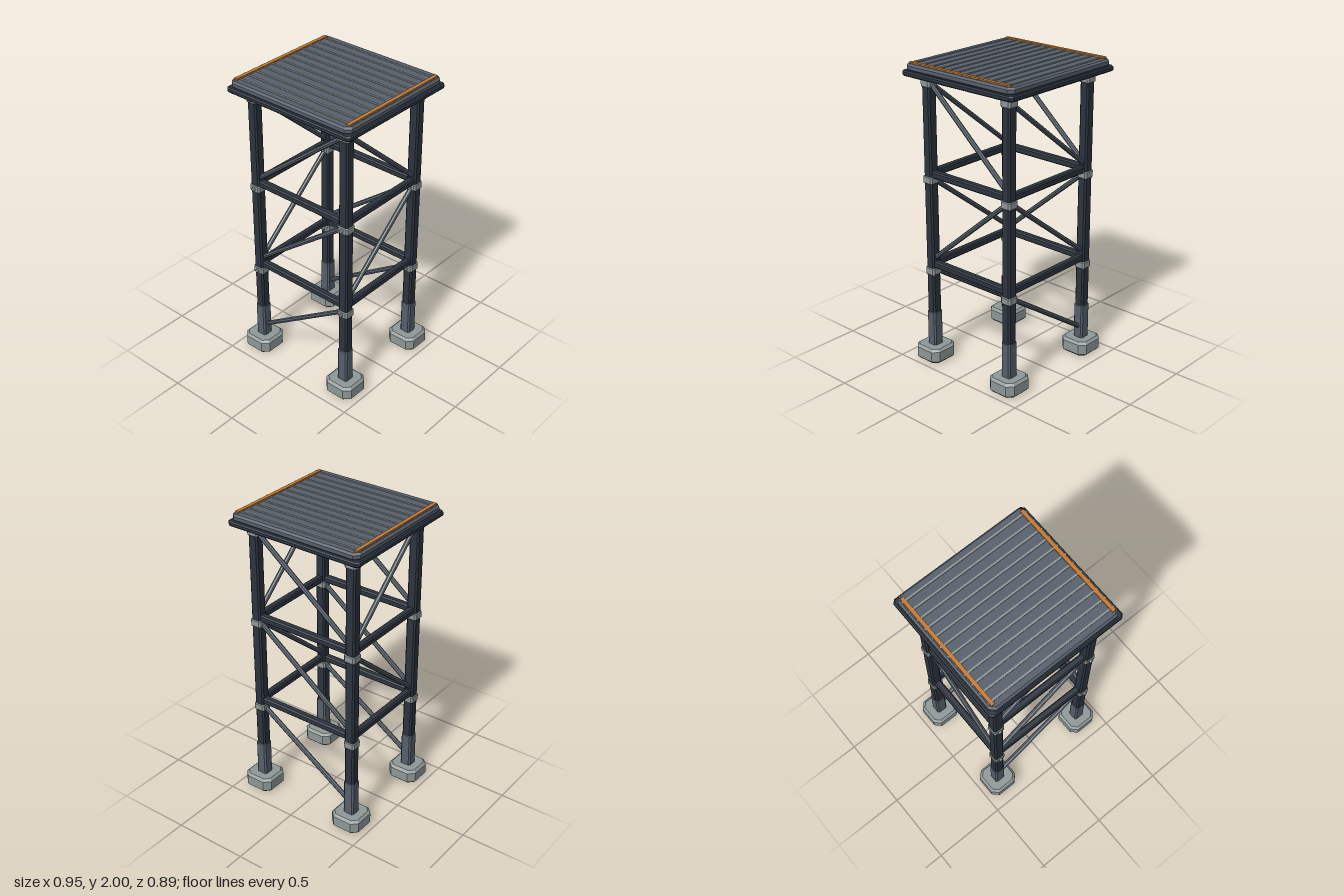
import * as THREE from 'three';

const mat = (name, color) => Object.assign(new THREE.MeshStandardMaterial({ color }), { name });

// Upright block with cut corners (c) and bevelled top and bottom edges (b), from y = 0 to h
function chamferBlock(w, h, d, c, b) {
  const x = w / 2 - b, z = d / 2 - b;
  const shape = new THREE.Shape([
    [-x + c, -z], [x - c, -z], [x, -z + c], [x, z - c],
    [x - c, z], [-x + c, z], [-x, z - c], [-x, -z + c],
  ].map(([px, pz]) => new THREE.Vector2(px, pz)));
  const geo = new THREE.ExtrudeGeometry(shape, {
    depth: h - 2 * b, bevelEnabled: b > 0, bevelThickness: b, bevelSize: b, bevelSegments: 1,
  });
  return geo.translate(0, 0, b).rotateX(-Math.PI / 2);
}

export function createModel() {
  const dark = mat('dark steel', 0x2c343f);
  const slate = mat('slate steel', 0x56606c);
  const pale = mat('pale grey', 0x8e9998);
  const orange = mat('safety orange', 0xc67a32);

  const model = new THREE.Group();
  model.name = 'tower';
  const add = (parent, name, geo, material, x = 0, y = 0, z = 0) => {
    const mesh = new THREE.Mesh(geo, material);
    mesh.name = name;
    mesh.position.set(x, y, z);
    parent.add(mesh);
    return mesh;
  };

  const LX = 0.358, LZ = 0.325;
  const collarLevels = [0.63, 1.251, 1.87];

  // Legs with feet, sleeves, collars and bolts
  const footGeo = chamferBlock(0.21, 0.1, 0.205, 0.03, 0.016);
  const legGeo = chamferBlock(0.068, 1.83, 0.065, 0.01, 0);
  const sleeveGeo = chamferBlock(0.076, 0.24, 0.073, 0.008, 0.004);
  const collarGeo = chamferBlock(0.08, 0.048, 0.078, 0.008, 0.005);
  const boltGeo = new THREE.CylinderGeometry(0.012, 0.012, 0.014, 8).rotateX(Math.PI / 2);
  const capGeo = new THREE.BoxGeometry(0.076, 0.022, 0.073);
  const clampGeo = new THREE.BoxGeometry(0.06, 0.025, 0.09);
  for (const sx of [-1, 1]) for (const sz of [-1, 1]) {
    const leg = new THREE.Group();
    leg.name = (sz > 0 ? 'front' : 'back') + (sx > 0 ? 'Left' : 'Right') + 'Leg';
    leg.position.set(sx * LX, 0, sz * LZ);
    model.add(leg);
    add(leg, 'foot', footGeo, pale, 0, 0.004, 0);
    add(leg, 'post', legGeo, dark, 0, 0.09, 0);
    add(leg, 'sleeve', sleeveGeo, slate, 0, 0.1, 0);
    for (const y of collarLevels) {
      add(leg, 'collar', collarGeo, pale, 0, y - 0.024, 0);
      add(leg, 'bolt', boltGeo, pale, 0, y, 0.043);
    }
    add(leg, 'postCap', capGeo, dark, 0, 1.906, 0);
    add(leg, 'deckClamp', clampGeo, orange, 0, 1.898, -sz * 0.03);
  }

  // Horizontal beams on all four sides
  const beamX = chamferBlock(0.046, 2 * LX, 0.046, 0.008, 0)
    .translate(0, -LX, 0).rotateZ(Math.PI / 2);
  const beamZ = chamferBlock(0.046, 2 * LZ, 0.046, 0.008, 0)
    .translate(0, -LZ, 0).rotateX(Math.PI / 2);
  for (const y of [0.68, 1.289]) for (const s of [-1, 1]) {
    add(model, 'crossBeam', beamX, dark, 0, y, s * LZ);
    add(model, 'sideBeam', beamZ, dark, s * LX, y, 0);
  }

  // Diagonal braces
  const brace = (name, a, b) => {
    const from = new THREE.Vector3(...a), to = new THREE.Vector3(...b);
    const dir = to.clone().sub(from);
    const geo = new THREE.CylinderGeometry(0.016, 0.016, dir.length(), 8).toNonIndexed();
    geo.computeVertexNormals();
    const mesh = add(model, name, geo, slate);
    mesh.position.copy(from).add(to).multiplyScalar(0.5);
    mesh.quaternion.setFromUnitVectors(new THREE.Vector3(0, 1, 0), dir.normalize());
  };
  for (const s of [-1, 1]) {
    for (const [low, high] of [[0.165, 0.64], [0.715, 1.26], [1.31, 1.875]])
      brace('crossBrace', [-LX, low, s * LZ], [LX, high, s * LZ]);
    brace('sideBrace', [s * LX, 0.705, LZ], [s * LX, 1.26, -LZ]);
    brace('sideBrace', [s * LX, 1.88, LZ], [s * LX, 1.31, -LZ]);
  }

  // Deck: dark rim below, lighter platform above
  const deck = new THREE.Group();
  deck.name = 'deck';
  model.add(deck);
  add(deck, 'rim', chamferBlock(0.95, 0.034, 0.89, 0.014, 0.008), dark, 0, 1.914, 0);
  add(deck, 'platform', chamferBlock(0.922, 0.046, 0.862, 0.024, 0.012), slate, 0, 1.945, 0);

  // Raised tread strips and orange edge strips
  const treadGeo = new THREE.BoxGeometry(0.9, 0.008, 0.012);
  for (let i = 0; i < 12; i++)
    add(deck, 'treadStrip', treadGeo, pale, 0, 1.992, -0.378 + i * 0.0687);
  const edgeGeo = new THREE.BoxGeometry(0.024, 0.009, 0.804);
  for (const s of [-1, 1]) add(deck, 'edgeStrip', edgeGeo, orange, s * 0.43, 1.9955, 0);

  return model;
}
